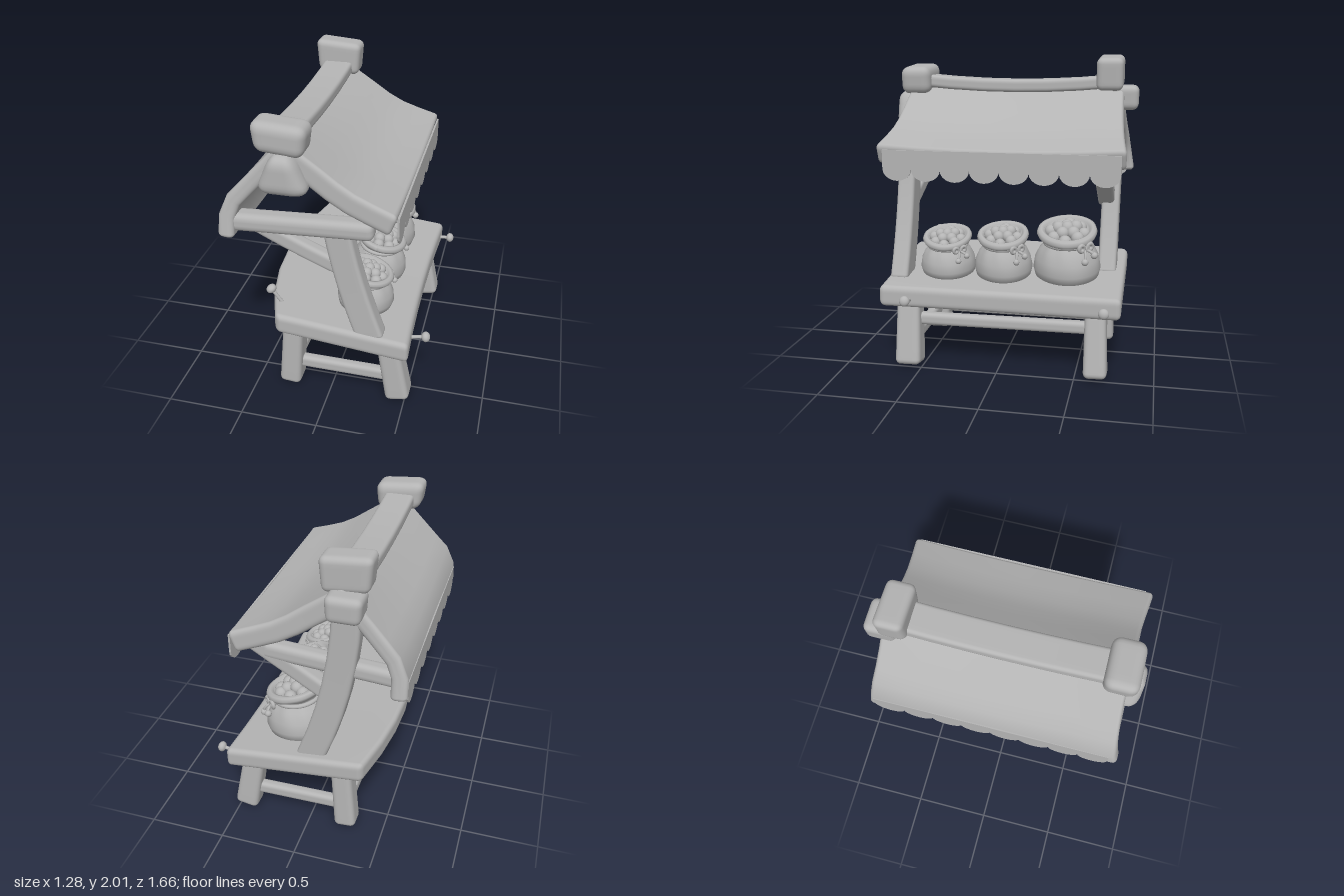
import * as THREE from 'three';
import { mergeVertices } from 'three/addons/utils/BufferGeometryUtils.js';

const V = (x, y, z) => new THREE.Vector3(x, y, z);
const clay = new THREE.MeshStandardMaterial({ color: 0xb4b4b4 });
clay.name = 'plain grey';

export function createModel() {
  const model = new THREE.Group();
  model.name = 'marketStall';

  function add(name, geometry, parent = model) {
    const mesh = new THREE.Mesh(geometry, clay);
    mesh.name = name;
    parent.add(mesh);
    return mesh;
  }

  // Subdivided box with rounded edges, its vertices then moved by a warp rule
  function softBox(w, h, d, r, warp) {
    const N = 12, R = 3;
    let g = new THREE.BoxGeometry(1, 1, 1, N, N, N);
    g.deleteAttribute('uv');
    g.deleteAttribute('normal');
    g = mergeVertices(g);
    const half = V(w / 2, h / 2, d / 2);
    const inner = half.clone().subScalar(r);
    const lo = inner.clone().negate();
    const spread = (c, H) => {
      const i = Math.round((c + 0.5) * N);
      if (i <= R) return -H + (r * i) / R;
      if (i >= N - R) return H - (r * (N - i)) / R;
      return (H - r) * ((2 * (i - R)) / (N - 2 * R) - 1);
    };
    const pos = g.attributes.position, p = V(0, 0, 0);
    for (let i = 0; i < pos.count; i++) {
      p.fromBufferAttribute(pos, i);
      p.set(spread(p.x, half.x), spread(p.y, half.y), spread(p.z, half.z));
      const core = p.clone().clamp(lo, inner);
      p.sub(core);
      if (p.length() > 1e-6) p.setLength(r);
      p.add(core);
      const q = warp(p);
      pos.setXYZ(i, q.x, q.y, q.z);
    }
    g.computeVertexNormals();
    return g;
  }

  // Rounded timber from a to b, optionally curving through mid and tapering
  function timber(name, a, b, w, d, { mid, taper = 1, r = 0.025 } = {}) {
    const m = mid || a.clone().lerp(b, 0.5);
    const ctrl = m.clone().multiplyScalar(2).sub(a.clone().lerp(b, 0.5));
    const curve = new THREE.QuadraticBezierCurve3(a, ctrl, b);
    const L = a.distanceTo(b);
    const q = new THREE.Quaternion().setFromUnitVectors(V(0, 1, 0), b.clone().sub(a).normalize());
    return add(name, softBox(w, L, d, r, (p) => {
      const t = p.y / L + 0.5, k = 1 + (taper - 1) * t;
      return V(p.x * k, 0, p.z * k).applyQuaternion(q).add(curve.getPoint(t));
    }));
  }

  // Sloping table top, strongly bowed along its back edge and hollowed along its front
  add('tableTop', softBox(1.02, 0.138, 1.55, 0.035, (p) => {
    const v = p.z / 0.775, u = p.x / 1.02 + 0.5;
    const inset = (v > 0 ? 0.17 : 0.11) * v * v * (1 - u);
    const x = p.x + 0.02 + inset - 0.025 * (1 - v * v) * u;
    return V(x, p.y + 0.578 - 0.1 * (x + 0.49) / 1.02 - 0.01 * (1 - v * v), p.z - 0.01);
  }));

  // Splayed legs and stretchers
  for (const s of [1, -1]) {
    const z = s > 0 ? 0.588 : -0.633;
    timber('frontLeg', V(0.455, 0.005, z), V(0.375, 0.46, z + 0.01), 0.16, s > 0 ? 0.17 : 0.15, { taper: 0.88, r: 0.035 });
    timber('backLeg', V(s > 0 ? -0.28 : -0.25, 0.005, z), V(s > 0 ? -0.24 : -0.21, 0.53, z + 0.01), 0.145, s > 0 ? 0.17 : 0.15, { taper: 0.9, r: 0.035 });
    timber('sideStretcher', V(-0.24, 0.16, z), V(0.42, 0.155, z), 0.085, 0.07);
  }
  timber('frontStretcher', V(0.39, 0.3, 0.56), V(0.39, 0.31, -0.6), 0.07, 0.08);
  timber('backStretcher', V(-0.255, 0.165, 0.56), V(-0.245, 0.17, -0.6), 0.07, 0.08);

  // Leaning posts, cross beams and braces, different at each end
  timber('leftPost', V(0.285, 0.53, 0.685), V(0.07, 1.3, 0.68), 0.175, 0.12, { mid: V(0.155, 0.92, 0.68), taper: 0.95 });
  timber('leftCrossBeam', V(-0.58, 1.265, 0.705), V(0.3, 1.31, 0.705), 0.115, 0.13, { r: 0.04 });
  timber('leftBrace', V(-0.45, 1.26, 0.68), V(0.08, 1.02, 0.68), 0.1, 0.09, { mid: V(-0.17, 1.125, 0.68) });
  timber('rightPost', V(-0.02, 0.56, -0.665), V(-0.265, 1.72, -0.68), 0.18, 0.12, { mid: V(-0.195, 1.13, -0.67) });
  timber('rightCrossBeam', V(-0.58, 1.25, -0.66), V(0.28, 1.3, -0.64), 0.11, 0.11, { r: 0.035 });
  timber('rightBrace', V(0.37, 1.37, -0.64), V(-0.16, 1.04, -0.64), 0.11, 0.11);

  // Roof slopes: thick slabs following a profile, sagging between the gables
  function roofSlope(name, side, pts, thick, flare) {
    const curve = new THREE.CatmullRomCurve3(pts.map(([x, y]) => V(x, y, 0)));
    add(name, softBox(1, thick, 2, 0.035, (p) => {
      const u = THREE.MathUtils.clamp(p.x + 0.5, 0, 1), v = p.z * side;
      const c = curve.getPointAt(u), t = curve.getTangentAt(u);
      const sag = (1 - v * v) * (0.065 - 0.04 * u);
      return V(c.x - side * t.y * p.y, c.y + side * t.x * p.y - sag, v * (0.735 + flare * u * u));
    }));
  }
  roofSlope('frontRoof', 1, [[-0.28, 1.77], [-0.09, 1.642], [0.13, 1.495], [0.42, 1.385]], 0.14, 0.055);
  roofSlope('backRoof', -1, [[-0.22, 1.77], [-0.33, 1.65], [-0.45, 1.52], [-0.572, 1.37], [-0.592, 1.18]], 0.1, 0.07);

  // Scalloped cloth trim under each eave
  function trim(name, x, top, cusp, drop) {
    const n = 8, w = 1.5 / n, s = new THREE.Shape();
    s.moveTo(-0.75, top);
    s.lineTo(-0.75, cusp);
    for (let i = 0; i < n; i++) {
      for (let k = 1; k <= 10; k++) {
        const a = (Math.PI * k) / 10;
        s.lineTo(-0.75 + w * (i + 0.5 - 0.5 * Math.cos(a)), cusp - drop * Math.sin(a));
      }
    }
    s.lineTo(0.75, top);
    const g = new THREE.ExtrudeGeometry(s, { depth: 0.012, bevelEnabled: false });
    g.rotateY(Math.PI / 2);
    add(name, g).position.set(x, 0, -0.01);
  }
  trim('frontTrim', 0.436, 1.42, 1.3, 0.075);
  trim('backTrim', -0.64, 1.3, 1.2, 0.08);

  // Ridge pole, its projecting ends and the blocks that clamp it
  timber('ridgePole', V(-0.25, 1.83, 0.7), V(-0.25, 1.83, -0.68), 0.2, 0.085, { mid: V(-0.25, 1.793, 0) });
  const block = (name, x, y, z, w, h, d, r, taper, lean) =>
    add(name, softBox(w, h, d, r, (p) =>
      V(x + p.x * (1 + taper * (p.y / h)), y + p.y + lean * p.x, z + p.z)));
  block('leftRidgeBlock', -0.245, 1.835, 0.688, 0.31, 0.185, 0.205, 0.055, 0.16, -0.08);
  block('rightRidgeBlock', -0.25, 1.885, -0.64, 0.295, 0.215, 0.175, 0.04, 0.12, -0.08);
  block('leftRidgeEnd', -0.225, 1.63, 0.745, 0.235, 0.25, 0.17, 0.07, -0.9, 0);
  block('rightRidgeEnd', -0.265, 1.72, -0.735, 0.21, 0.16, 0.19, 0.04, 0.1, 0);

  // Round-headed pegs
  function peg(a, b) {
    add('pegShaft', new THREE.TubeGeometry(new THREE.LineCurve3(a, b), 1, 0.012, 10));
    const head = add('pegHead', new THREE.SphereGeometry(0.034, 18, 12));
    head.position.copy(b);
    head.quaternion.setFromUnitVectors(V(0, 1, 0), b.clone().sub(a).normalize());
    head.scale.y = 0.8;
  }
  peg(V(0.48, 0.455, 0.56), V(0.61, 0.485, 0.565));
  peg(V(0.46, 0.465, -0.69), V(0.597, 0.48, -0.685));
  peg(V(-0.32, 0.61, 0.6), V(-0.392, 0.72, 0.61));

  // Sacks: turned body with soft folds and a tilted rolled mouth, cord, knot and round goods
  const profile = [[0, 0], [0.15, 0], [0.175, 0.018], [0.185, 0.06], [0.175, 0.12], [0.148, 0.175],
    [0.122, 0.205], [0.118, 0.218], [0.135, 0.234], [0.156, 0.246], [0.164, 0.264], [0.157, 0.282],
    [0.14, 0.288], [0.122, 0.278], [0.115, 0.25], [0, 0.245]].map(([x, y]) => new THREE.Vector2(x, y));
  const tilt = 0.17;
  function sack(x, y, z, sr, sy) {
    const s = new THREE.Group();
    s.name = 'sack';
    s.position.set(x, y, z);
    s.rotation.z = -0.11;
    s.scale.set(sr, sy, sr);
    model.add(s);

    const g = new THREE.LatheGeometry(profile, 48);
    const pos = g.attributes.position;
    for (let i = 0; i < pos.count; i++) {
      const px = pos.getX(i), py = pos.getY(i), pz = pos.getZ(i);
      const a = Math.atan2(pz, px);
      const fold = 0.025 * Math.exp(-(((py - 0.18) / 0.05) ** 2)) * Math.cos(9 * a)
        + 0.02 * Math.cos(3 * a + 1);
      const lean = tilt * px * THREE.MathUtils.smoothstep(py, 0.2, 0.25);
      pos.setXYZ(i, px * (1 + fold), py - lean, pz * (1 + fold));
    }
    g.computeVertexNormals();
    add('sackBody', g, s);

    const cord = add('cord', new THREE.TorusGeometry(0.123, 0.013, 10, 40), s);
    cord.rotation.x = Math.PI / 2;
    cord.position.y = 0.21;

    const knot = new THREE.Group();
    knot.name = 'knot';
    knot.position.set(0.1, 0.21, -0.095);
    knot.rotation.y = Math.PI / 4;
    s.add(knot);
    add('knotCentre', new THREE.SphereGeometry(0.022, 14, 10), knot).position.x = 0.01;
    for (const k of [1, -1]) {
      const loop = add('knotLoop', new THREE.TorusGeometry(0.017, 0.011, 8, 18), knot);
      loop.position.set(0.022, 0.01, 0.028 * k);
      loop.rotation.y = Math.PI / 2;
      const end = V(0.055, -0.045 - 0.012 * k, 0.032 * k);
      add('cordTail', new THREE.TubeGeometry(new THREE.QuadraticBezierCurve3(
        V(0.01, 0, 0), V(0.055, -0.01, 0.02 * k), end), 8, 0.008, 8), knot);
      add('cordBead', new THREE.SphereGeometry(0.019, 14, 10), knot).position.copy(end);
    }

    for (const [n, rad, h] of [[8, 0.09, 0.258], [5, 0.05, 0.278], [1, 0, 0.288]]) {
      for (let i = 0; i < n; i++) {
        const a = (i / n) * Math.PI * 2 + rad * 9;
        const ball = add('goods', new THREE.SphereGeometry(0.036, 14, 10), s);
        const bx = rad * Math.cos(a);
        ball.position.set(bx, h + 0.006 * Math.sin(i * 2.4) - tilt * bx, rad * Math.sin(a));
      }
    }
  }
  sack(0.17, 0.56, 0.39, 1.0, 0.95);
  sack(0.17, 0.56, 0.01, 1.04, 1.06);
  sack(0.13, 0.565, -0.41, 1.2, 1.18);

  return model;
}
